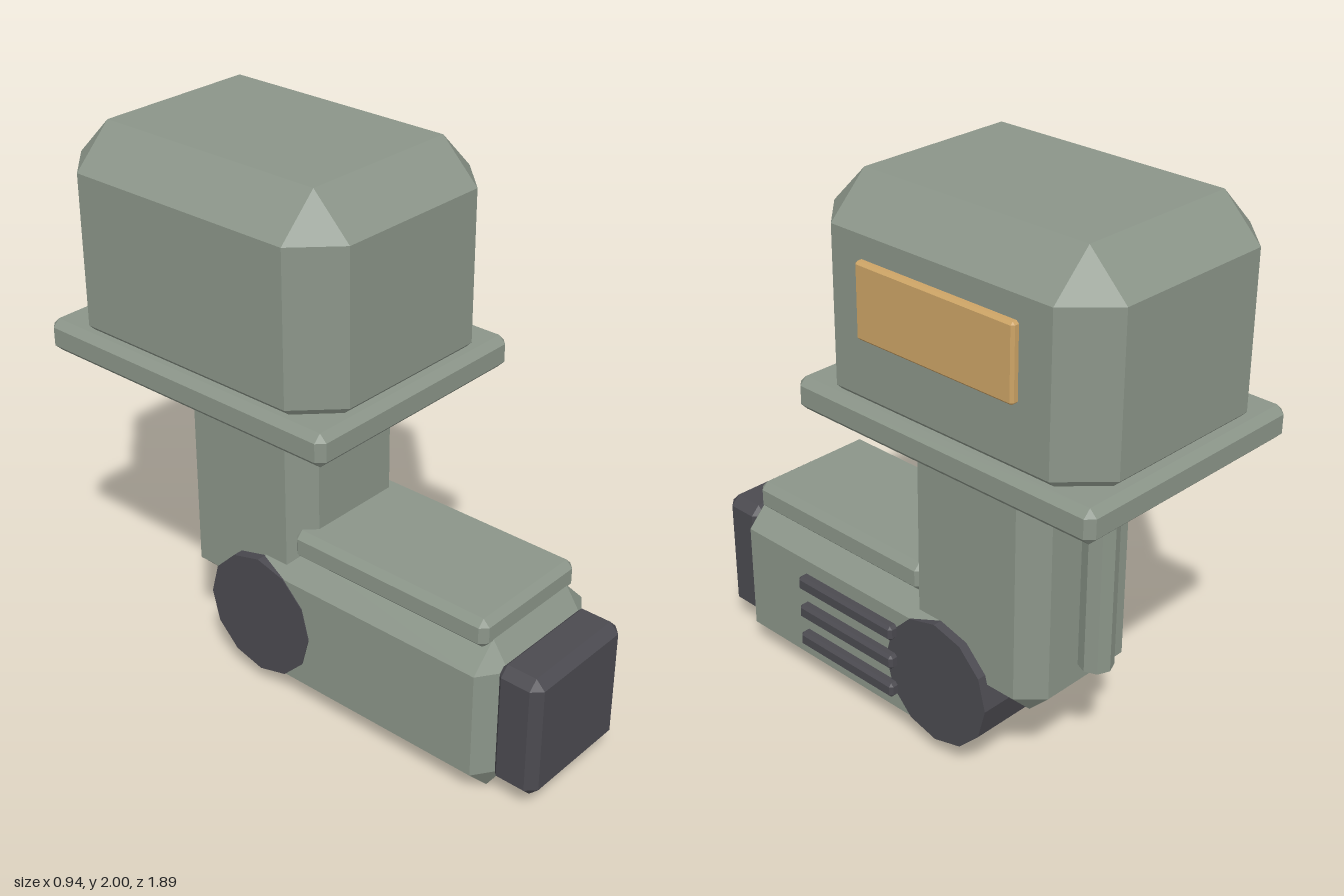
import * as THREE from 'three';
import { ConvexGeometry } from 'three/addons/geometries/ConvexGeometry.js';

const paint = (name, color) => {
  const m = new THREE.MeshStandardMaterial({ color });
  m.name = name;
  return m;
};

// Box with chamfered edges; b is the chamfer per axis, low an optional smaller chamfer at the base
function chamferBox([x0, x1], [y0, y1], [z0, z1], b, low) {
  const [bx, by, bz] = Array.isArray(b) ? b : [b, b, b];
  const [lx, ly, lz] = low ? [low, low, low] : [bx, by, bz];
  const pts = [];
  for (const sx of [-1, 1]) for (const sz of [-1, 1]) {
    const X = sx < 0 ? x0 : x1, Z = sz < 0 ? z0 : z1;
    const xi = X - sx * bx, zi = Z - sz * bz;
    pts.push(
      [X, y1 - by, zi], [xi, y1 - by, Z], [xi, y1, zi],
      [X, y0 + ly, zi], [xi, y0 + ly, Z], [X - sx * lx, y0, zi],
    );
    if (low) pts.push([xi, y0, Z - sz * lz]);
  }
  return new ConvexGeometry(pts.map((p) => new THREE.Vector3(...p)));
}

export function createModel() {
  const model = new THREE.Group();
  const green = paint('greyGreen', 0x8b9589);
  const dark = paint('charcoal', 0x4b4a50);
  const amber = paint('amber', 0xcda466);

  const add = (name, geometry, material) => {
    const mesh = new THREE.Mesh(geometry, material);
    mesh.name = name;
    model.add(mesh);
    return mesh;
  };

  // Upper housing, its flange and the side panel
  add('housing', chamferBox([-0.445, 0.44], [1.295, 2], [-0.905, 0.27], 0.142, 0.025), green);
  add('flange', chamferBox([-0.473, 0.465], [1.18, 1.298], [-0.943, 0.303], 0.026), green);
  add('sidePanel', chamferBox([0.42, 0.465], [1.523, 1.78], [-0.64, 0.005], 0.009), amber);

  // Upright column with a conduit down its back
  add('column', chamferBox([-0.205, 0.32], [0.3, 1.27], [-0.61, -0.025], 0.08), green);
  const conduit = new THREE.CylinderGeometry(0.06, 0.06, 0.78, 8).toNonIndexed();
  conduit.computeVertexNormals();
  add('conduit', conduit, green).position.set(0.057, 0.835, -0.65);

  // Foot with its cover plate and front bumper
  add('foot', chamferBox([-0.24, 0.35], [0, 0.595], [-0.27, 0.8], [0.096, 0.098, 0.066]), green);
  add('footCover', chamferBox([-0.193, 0.303], [0.565, 0.674], [-0.09, 0.735], 0.025), green);
  add('bumper', chamferBox([-0.184, 0.29], [0.065, 0.53], [0.765, 0.945], 0.034), dark);

  // Ankle joint across the foot
  const joint = new THREE.CylinderGeometry(0.232, 0.232, 0.596, 12).toNonIndexed();
  joint.computeVertexNormals();
  joint.rotateZ(Math.PI / 2);
  add('ankleJoint', joint, dark).position.set(0.055, 0.297, -0.206);

  // Vent ribs on one side of the foot
  for (const y of [0.181, 0.297, 0.414]) {
    add('ventRib', chamferBox([0.33, 0.384], [y - 0.028, y + 0.028], [-0.027, 0.443], 0.011), dark);
  }

  return model;
}
